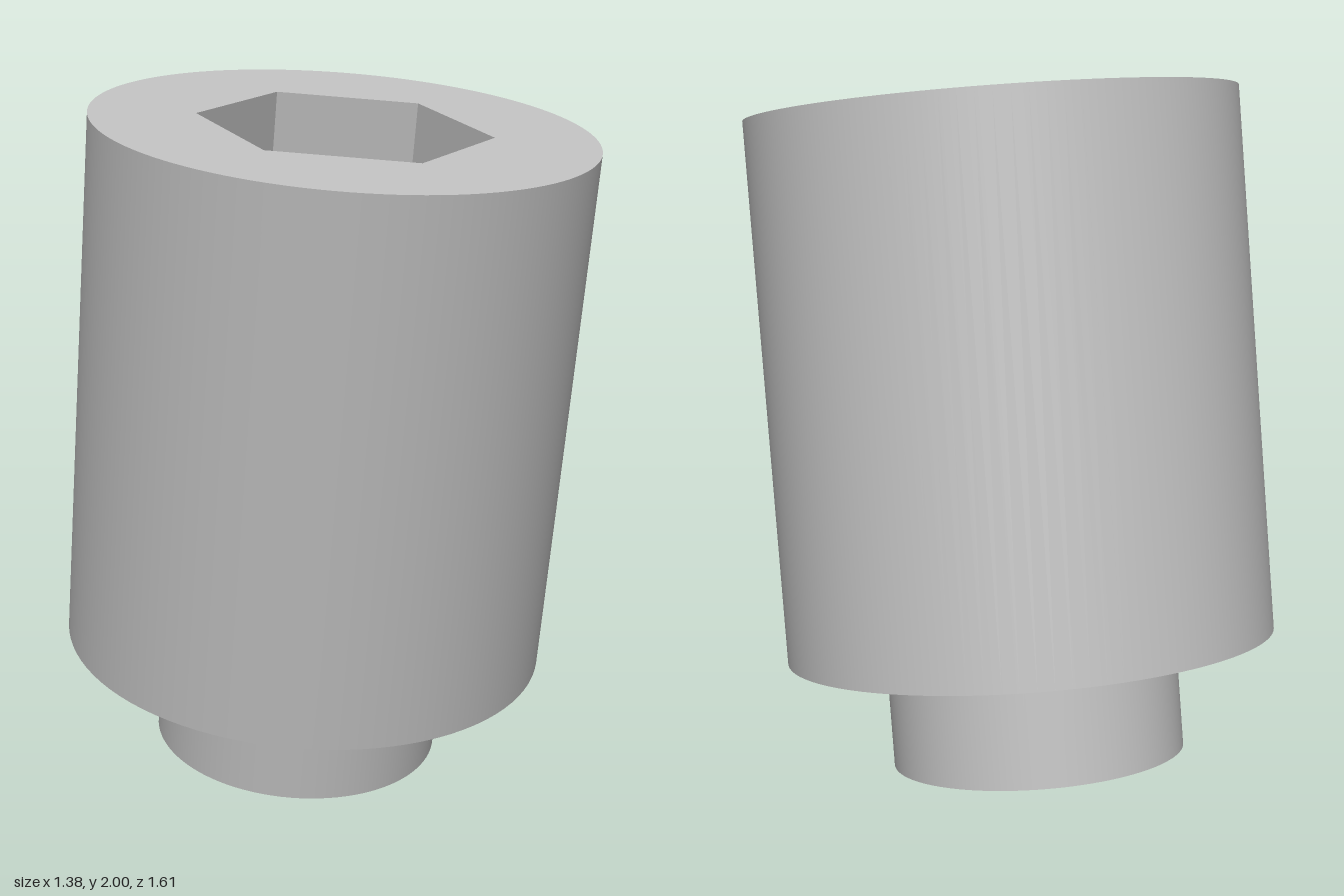
import * as THREE from 'three';

const TILT = 0.1616;
const BODY_R = 0.691, BODY_H = 1.52;
const PIN_R = 0.414, PIN_H = 0.324;
const HEX_R = 0.403, HEX_DEPTH = 0.6;
const TOP = PIN_H + BODY_H;
const SEGMENTS = 96;

export function createModel() {
  const model = new THREE.Group();
  model.name = 'socketScrew';
  const steel = new THREE.MeshStandardMaterial({ color: 0xc0c0c0 });
  steel.name = 'grey steel';

  // Everything is built upright along the axis, then tilted forward
  const axis = new THREE.Group();
  axis.name = 'tiltedScrew';
  axis.rotation.x = TILT;
  axis.position.set(0, PIN_R * Math.sin(TILT), -0.172);
  model.add(axis);

  const add = (name, geometry, y) => {
    const mesh = new THREE.Mesh(geometry, steel);
    mesh.name = name;
    mesh.position.y = y;
    axis.add(mesh);
  };

  // Narrow pin at the bottom
  add('pin', new THREE.CylinderGeometry(PIN_R, PIN_R, PIN_H, SEGMENTS), PIN_H / 2);

  // Wide body wall and the shoulder under it
  add('bodyWall', new THREE.CylinderGeometry(BODY_R, BODY_R, BODY_H, SEGMENTS, 1, true), PIN_H + BODY_H / 2);
  add('shoulder', new THREE.RingGeometry(PIN_R, BODY_R, SEGMENTS).rotateX(Math.PI / 2), PIN_H);

  // Top face with a hexagonal opening
  const face = new THREE.Shape().absarc(0, 0, BODY_R, 0, Math.PI * 2);
  const corners = Array.from({ length: 6 }, (_, i) => {
    const a = Math.PI / 2 + i * Math.PI / 3;
    return new THREE.Vector2(HEX_R * Math.cos(a), HEX_R * Math.sin(a));
  });
  face.holes.push(new THREE.Path(corners));
  add('topFace', new THREE.ShapeGeometry(face, SEGMENTS).rotateX(-Math.PI / 2), TOP);

  // Hexagonal recess: flat walls mirrored to face inward, and a floor
  const walls = new THREE.CylinderGeometry(HEX_R, HEX_R, HEX_DEPTH, 6, 1, true)
    .scale(-1, 1, 1).toNonIndexed();
  walls.computeVertexNormals();
  add('hexWalls', walls, TOP - HEX_DEPTH / 2);
  add('hexFloor', new THREE.CircleGeometry(HEX_R, 6, Math.PI / 2).rotateX(-Math.PI / 2), TOP - HEX_DEPTH);

  return model;
}
